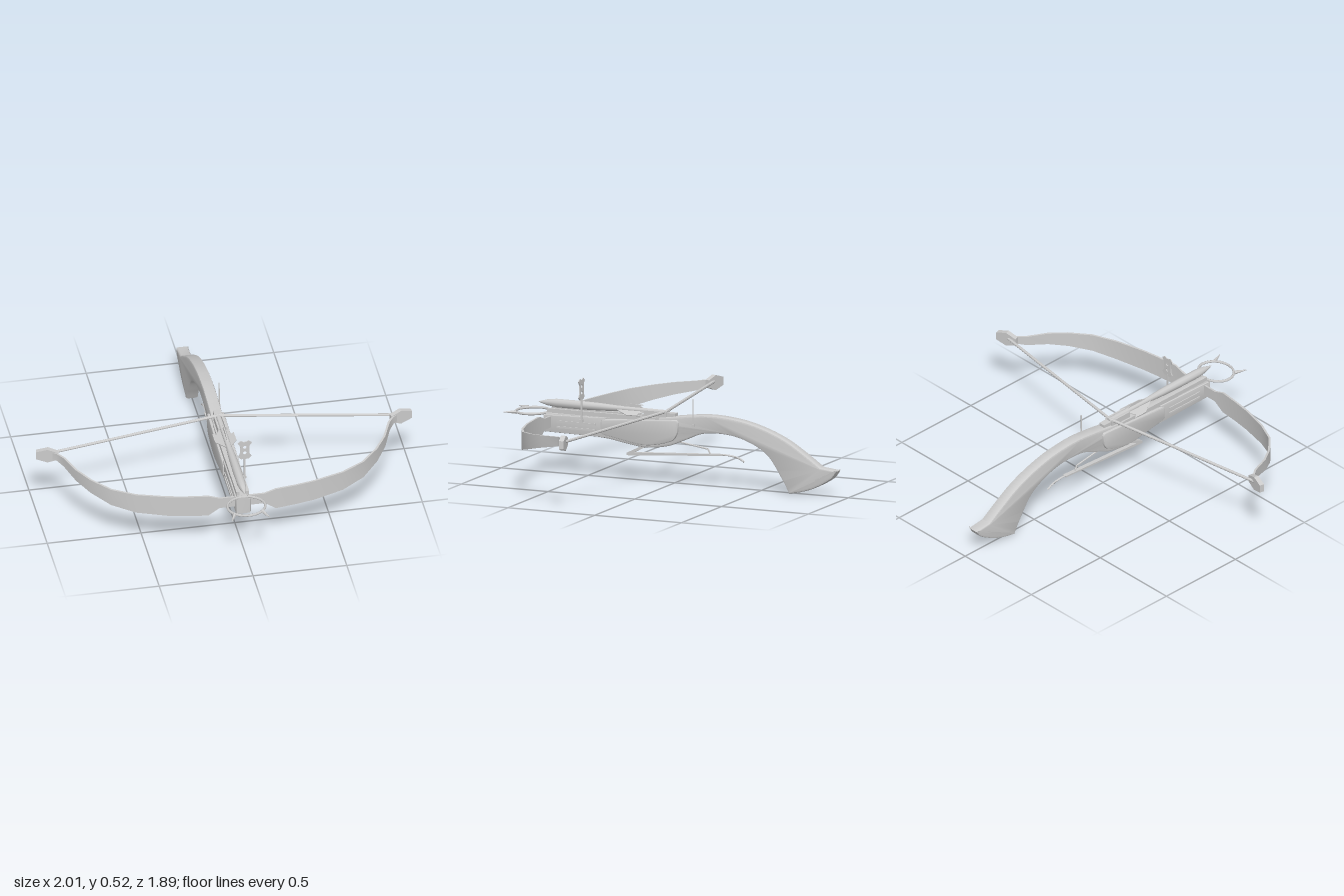
import * as THREE from 'three';
import { toCreasedNormals } from 'three/addons/utils/BufferGeometryUtils.js';

const mat = new THREE.MeshStandardMaterial({ color: 0xcccccc });
const V = (x, y, z) => new THREE.Vector3(x, y, z);
const pts = (list) => list.map(([a, b]) => new THREE.Vector2(a, b));

export function createModel() {
  const model = new THREE.Group();

  const add = (name, geometry, crease = 0.6) => {
    const mesh = new THREE.Mesh(toCreasedNormals(geometry, crease), mat);
    mesh.name = name;
    model.add(mesh);
    return mesh;
  };
  const box = (name, w, h, d, x, y, z) => add(name, new THREE.BoxGeometry(w, h, d).translate(x, y, z));

  // Extrudes a (z, y) side profile across x, centred on x = cx
  const slab = (name, shape, width, bevel, cx = 0) => {
    const depth = width - 2 * bevel;
    const g = new THREE.ExtrudeGeometry(shape, {
      depth, curveSegments: 24, bevelEnabled: bevel > 0, bevelSize: bevel,
      bevelThickness: bevel, bevelOffset: -bevel, bevelSegments: 2,
    });
    return add(name, g.translate(0, 0, -depth / 2).rotateY(-Math.PI / 2).translate(cx, 0, 0));
  };

  // Straight round rod (or cone) between two points
  const rod = (name, a, b, r0, r1 = r0, sides = 8) => {
    const dir = b.clone().sub(a);
    const g = new THREE.CylinderGeometry(r1, r0, dir.length(), sides);
    g.applyQuaternion(new THREE.Quaternion().setFromUnitVectors(V(0, 1, 0), dir.normalize()));
    const m = a.clone().add(b).multiplyScalar(0.5);
    return add(name, g.translate(m.x, m.y, m.z));
  };

  // Skin over equal-sized closed rings, with capped ends
  const loft = (name, rings, crease) => {
    const n = rings[0].length, pos = [], index = [];
    rings.flat().forEach((p) => pos.push(p.x, p.y, p.z));
    for (let k = 0; k < rings.length - 1; k++) {
      for (let i = 0; i < n; i++) {
        const a = k * n + i, b = k * n + ((i + 1) % n);
        index.push(a, b, b + n, a, b + n, a + n);
      }
    }
    const e = (rings.length - 1) * n;
    for (let i = 1; i < n - 1; i++) index.push(0, i + 1, i, e, e + i, e + i + 1);
    const g = new THREE.BufferGeometry();
    g.setAttribute('position', new THREE.Float32BufferAttribute(pos, 3));
    g.setIndex(index);
    return add(name, g, crease);
  };

  // Stock: one long curved profile ending in a flared butt
  const stock = new THREE.Shape();
  stock.moveTo(0.74, 0.235);
  stock.lineTo(0.74, 0.325);
  stock.splineThru(pts([[0.4, 0.335], [0.2, 0.34], [0.05, 0.352], [-0.1, 0.372], [-0.2, 0.381], [-0.3, 0.378],
    [-0.42, 0.362], [-0.55, 0.325], [-0.66, 0.277], [-0.76, 0.215], [-0.85, 0.153]]));
  stock.lineTo(-0.945, 0.142);
  stock.splineThru(pts([[-0.91, 0.097], [-0.82, 0.045], [-0.74, 0.017], [-0.67, 0.003]]));
  stock.splineThru(pts([[-0.63, 0.075], [-0.55, 0.19], [-0.45, 0.252], [-0.325, 0.286], [-0.18, 0.283],
    [-0.07, 0.24], [0.03, 0.2], [0.157, 0.183], [0.284, 0.198], [0.41, 0.216], [0.73, 0.235]]));
  slab('stock', stock, 0.064, 0.01);

  // Wider fore-end
  slab('foreEnd', new THREE.Shape(pts([[0.74, 0.225], [0.74, 0.315], [0.38, 0.325], [0.38, 0.22]])), 0.08, 0.006);

  // Raised side panels
  const panel = new THREE.Shape();
  panel.moveTo(0.41, 0.25);
  panel.lineTo(0.41, 0.295);
  panel.quadraticCurveTo(0.41, 0.315, 0.39, 0.318);
  panel.lineTo(0.1, 0.337);
  panel.lineTo(-0.02, 0.345);
  panel.quadraticCurveTo(-0.038, 0.345, -0.038, 0.325);
  panel.lineTo(-0.035, 0.285);
  panel.quadraticCurveTo(-0.025, 0.24, 0.01, 0.227);
  panel.quadraticCurveTo(0.13, 0.185, 0.22, 0.203);
  panel.lineTo(0.39, 0.234);
  panel.quadraticCurveTo(0.41, 0.238, 0.41, 0.25);
  slab('sidePanels', panel, 0.092, 0.008);

  // Bolt groove rails, side ribs and string latch
  for (const s of [-1, 1]) {
    box('grooveRail', 0.016, 0.022, 0.64, s * 0.026, 0.338, 0.4);
    for (const y of [0.255, 0.285]) box('sideRib', 0.008, 0.01, 0.22, s * 0.041, y, 0.55);
    box('latchCheek', 0.01, 0.04, 0.13, s * 0.02, 0.36, 0.105);
  }
  box('latch', 0.036, 0.03, 0.06, 0, 0.36, 0.02);

  // Bow limbs: [x, z, bottom, top]
  const limb = [
    [0.0, 0.7, 0.25, 0.31], [0.12, 0.7, 0.25, 0.31], [0.18, 0.7, 0.21, 0.33], [0.29, 0.687, 0.213, 0.331],
    [0.39, 0.67, 0.216, 0.333], [0.55, 0.625, 0.227, 0.337], [0.67, 0.565, 0.25, 0.346], [0.76, 0.475, 0.278, 0.357],
    [0.82, 0.385, 0.302, 0.367], [0.865, 0.275, 0.325, 0.376], [0.895, 0.235, 0.338, 0.38], [0.94, 0.207, 0.342, 0.378],
  ];
  // Tip block: [x, z, bottom, top]
  const tip = [[0.885, 0.222, 0.34, 0.38], [0.94, 0.208, 0.32, 0.4], [1.0, 0.193, 0.338, 0.382]];

  const bladeRings = (rows, thickness, s) => rows.map(([x, z, y0, y1], i) => {
    const p = rows[Math.max(i - 1, 0)], q = rows[Math.min(i + 1, rows.length - 1)];
    const len = Math.hypot(q[0] - p[0], q[1] - p[1]);
    const nx = (-(q[1] - p[1]) / len) * thickness / 2, nz = ((q[0] - p[0]) / len) * thickness / 2;
    const ring = [V(x - nx, y0, z - nz), V(x - nx, y1, z - nz), V(x + nx, y1, z + nz), V(x + nx, y0, z + nz)];
    ring.forEach((v) => { v.x *= s; });
    return s < 0 ? ring.reverse() : ring;
  });
  for (const s of [-1, 1]) {
    loft(s > 0 ? 'leftLimb' : 'rightLimb', bladeRings(limb, 0.011, s), 0.7);
    loft(s > 0 ? 'leftTip' : 'rightTip', bladeRings(tip, 0.026, s), 0.2);
    rod('bowString', V(s * 0.94, 0.366, 0.205), V(0, 0.379, 0.05), 0.008);
    // Spikes on the foot stirrup
    rod('stirrupSpike', V(s * 0.074, 0.323, 0.88), V(s * 0.1, 0.323, 0.942), 0.011, 0.002, 6);
  }

  // Foot stirrup ring
  add('stirrup', new THREE.TorusGeometry(0.1, 0.007, 8, 28).rotateX(Math.PI / 2).scale(1, 1, 0.88)
    .translate(0, 0.323, 0.818), 1.2);

  // Loaded bolt with head, shaft and fletching
  const boltProfile = pts([[0, 0.04], [0.013, 0.04], [0.015, 0.33], [0.02, 0.42], [0.023, 0.55], [0.023, 0.68],
    [0.016, 0.735], [0, 0.79]]);
  add('bolt', new THREE.LatheGeometry(boltProfile, 10).rotateX(Math.PI / 2).translate(0, 0.374, 0), 0.7);
  const vane = new THREE.Shape(pts([[0.01, 0.16], [0.045, 0.2], [0.06, 0.175], [0.06, 0.255], [0.01, 0.34]]));
  for (const [angle, size] of [[-0.35, 1], [Math.PI + 0.35, 1], [Math.PI / 2, 0.5]]) {
    const g = new THREE.ExtrudeGeometry(vane, { depth: 0.004, bevelEnabled: false });
    g.translate(0, 0, -0.002).rotateX(Math.PI / 2).scale(size, 1, 1).rotateZ(angle);
    add('fletching', g.translate(0, 0.374, 0));
  }

  // Front sight: a pierced plate on a side stem
  const plate = new THREE.Shape(pts([[-0.036, 0.015], [-0.02, 0], [0.02, 0], [0.036, 0.015], [0.026, 0.03],
    [0.024, 0.08], [0.038, 0.1], [0.02, 0.114], [0.008, 0.106], [-0.008, 0.106], [-0.02, 0.114], [-0.038, 0.1],
    [-0.024, 0.08], [-0.026, 0.03]]));
  for (const y of [0.038, 0.072]) plate.holes.push(new THREE.Path().absarc(0, y, 0.01, 0, Math.PI * 2, true));
  add('frontSightPlate', new THREE.ExtrudeGeometry(plate, { depth: 0.005, bevelEnabled: false, curveSegments: 6 })
    .translate(0.05, 0.413, 0.513));
  box('frontSightStem', 0.009, 0.13, 0.009, 0.05, 0.355, 0.515);
  box('frontSightFoot', 0.03, 0.014, 0.016, 0.042, 0.3, 0.515);

  // Rear sight pin
  rod('rearSightPin', V(0.038, 0.32, -0.122), V(0.038, 0.465, -0.122), 0.004, 0.003, 6);
  box('rearSightFoot', 0.018, 0.014, 0.014, 0.034, 0.325, -0.122);

  // Trigger lever, its front strut and rear link
  const tube = (name, list, r) => add(name, new THREE.TubeGeometry(
    new THREE.CatmullRomCurve3(list.map(([z, y]) => V(0, y, z))), 24, r, 6), 1.2);
  slab('triggerLever', new THREE.Shape(pts([[0.275, 0.13], [0.26, 0.146], [-0.28, 0.178], [-0.28, 0.17]])), 0.022, 0);
  tube('triggerTail', [[-0.26, 0.174], [-0.32, 0.173], [-0.37, 0.162], [-0.402, 0.145]], 0.005);
  slab('triggerStrut', new THREE.Shape(pts([[0.275, 0.13], [0.275, 0.143], [0.17, 0.195], [0.14, 0.195], [0.25, 0.138]])),
    0.022, 0);
  rod('triggerLink', V(0, 0.226, -0.01), V(0, 0.199, -0.19), 0.005, 0.005, 6);
  rod('triggerLinkEnd', V(0, 0.201, -0.19), V(0, 0.172, -0.205), 0.005, 0.005, 6);

  return model;
}
